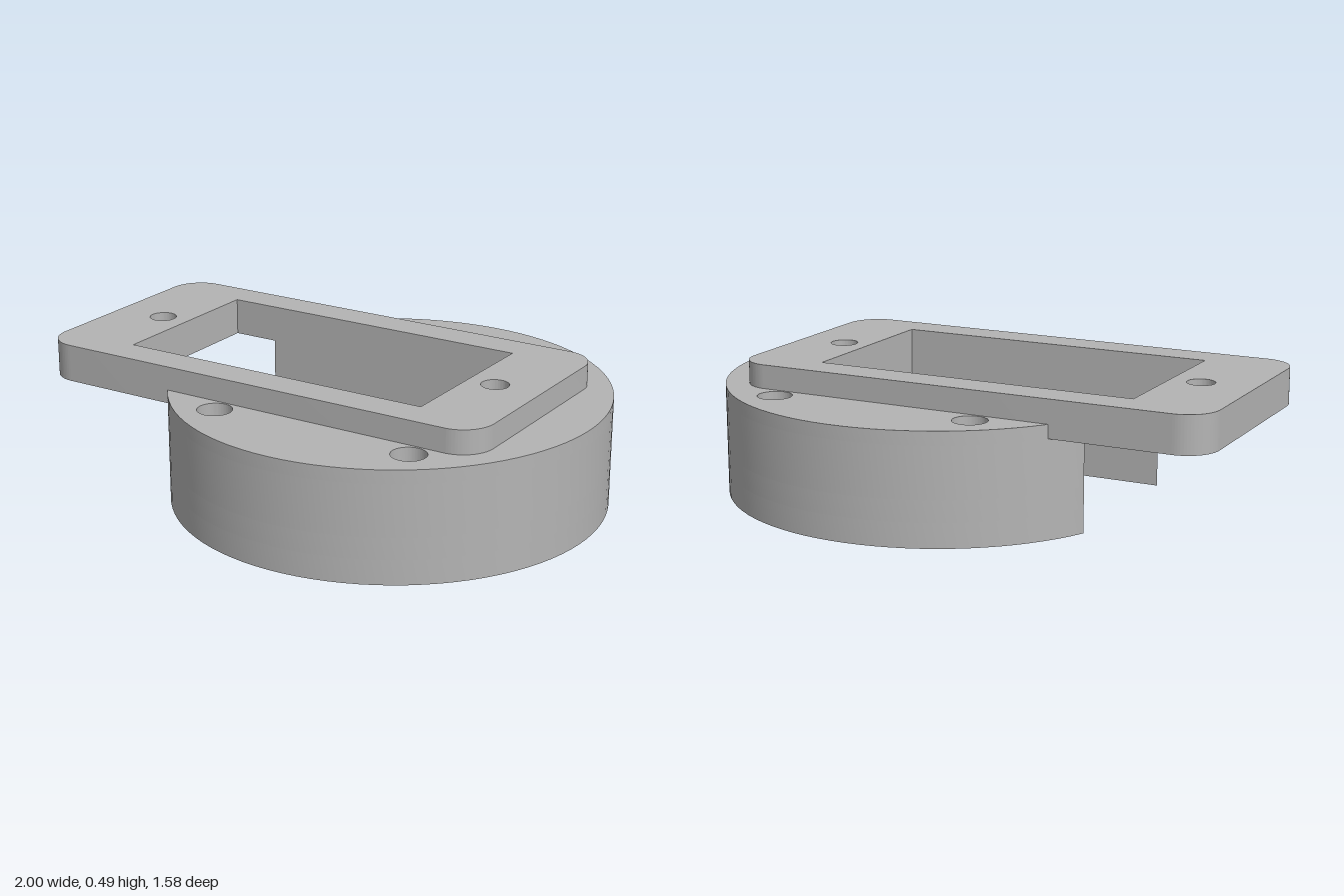
import * as THREE from 'three';
import { toCreasedNormals } from 'three/addons/utils/BufferGeometryUtils.js';

const CX = 0.205, R = 0.79, BORE = 0.515;      // disc centre, outer radius, bore radius
const SLOT = 0.327, SLOT_END = 0.52;           // slot half width and closed end

export function createModel() {
  const group = new THREE.Group();
  const grey = new THREE.MeshStandardMaterial({ color: 0xb4b4b4 });
  grey.name = 'grey plastic';

  // Extrude a plan outline upward from y0 to y1
  function slab(name, shape, y0, y1) {
    const geo = new THREE.ExtrudeGeometry(shape, { depth: y1 - y0, bevelEnabled: false, curveSegments: 40 });
    geo.rotateX(-Math.PI / 2);
    geo.translate(0, y0, 0);
    const mesh = new THREE.Mesh(toCreasedNormals(geo, 0.5), grey);
    mesh.name = name;
    group.add(mesh);
  }

  function addHole(shape, x, y, r) {
    const hole = new THREE.Path();
    hole.absarc(x, y, r, 0, Math.PI * 2, true);
    shape.holes.push(hole);
  }

  // Disc outline open to the left, with a round bore or a square-ended slot
  function discShape(bored, holeRadius) {
    const s = new THREE.Shape();
    const a = Math.PI - Math.asin(SLOT / R);
    s.absarc(CX, 0, R, -a, a, false);
    if (bored) {
      const b = Math.PI - Math.asin(SLOT / BORE);
      s.absarc(CX, 0, BORE, b, -b, true);
    } else {
      s.lineTo(SLOT_END, SLOT);
      s.lineTo(SLOT_END, -SLOT);
    }
    s.closePath();
    for (const dx of [-0.388, 0.388])
      for (const y of [-0.527, 0.527]) addHole(s, CX + dx, y, holeRadius);
    return s;
  }

  // Base disc: counterbored ring, plain ring, slotted upper body, top with blind screw hole
  slab('counterboredRing', discShape(true, 0.105), 0, 0.09);
  slab('boredRing', discShape(true, 0.062), 0.09, 0.168);
  slab('slottedBody', discShape(false, 0.062), 0.168, 0.355);
  const top = discShape(false, 0.062);
  addHole(top, 0.625, 0, 0.05);
  slab('slottedTop', top, 0.355, 0.405);

  // Rounded mounting plate with rectangular window and two screw holes
  const x0 = -1, x1 = 0.802, h = 0.457, r = 0.12;
  const plate = new THREE.Shape();
  plate.absarc(x1 - r, -h + r, r, -Math.PI / 2, 0, false);
  plate.absarc(x1 - r, h - r, r, 0, Math.PI / 2, false);
  plate.absarc(x0 + r, h - r, r, Math.PI / 2, Math.PI, false);
  plate.absarc(x0 + r, -h + r, r, Math.PI, Math.PI * 1.5, false);
  plate.closePath();
  plate.holes.push(new THREE.Path([
    new THREE.Vector2(-0.69, -SLOT), new THREE.Vector2(-0.69, SLOT),
    new THREE.Vector2(SLOT_END, SLOT), new THREE.Vector2(SLOT_END, -SLOT),
  ]));
  addHole(plate, -0.802, 0, 0.05);
  addHole(plate, 0.625, 0, 0.05);
  slab('mountingPlate', plate, 0.355, 0.492);

  return group;
}
